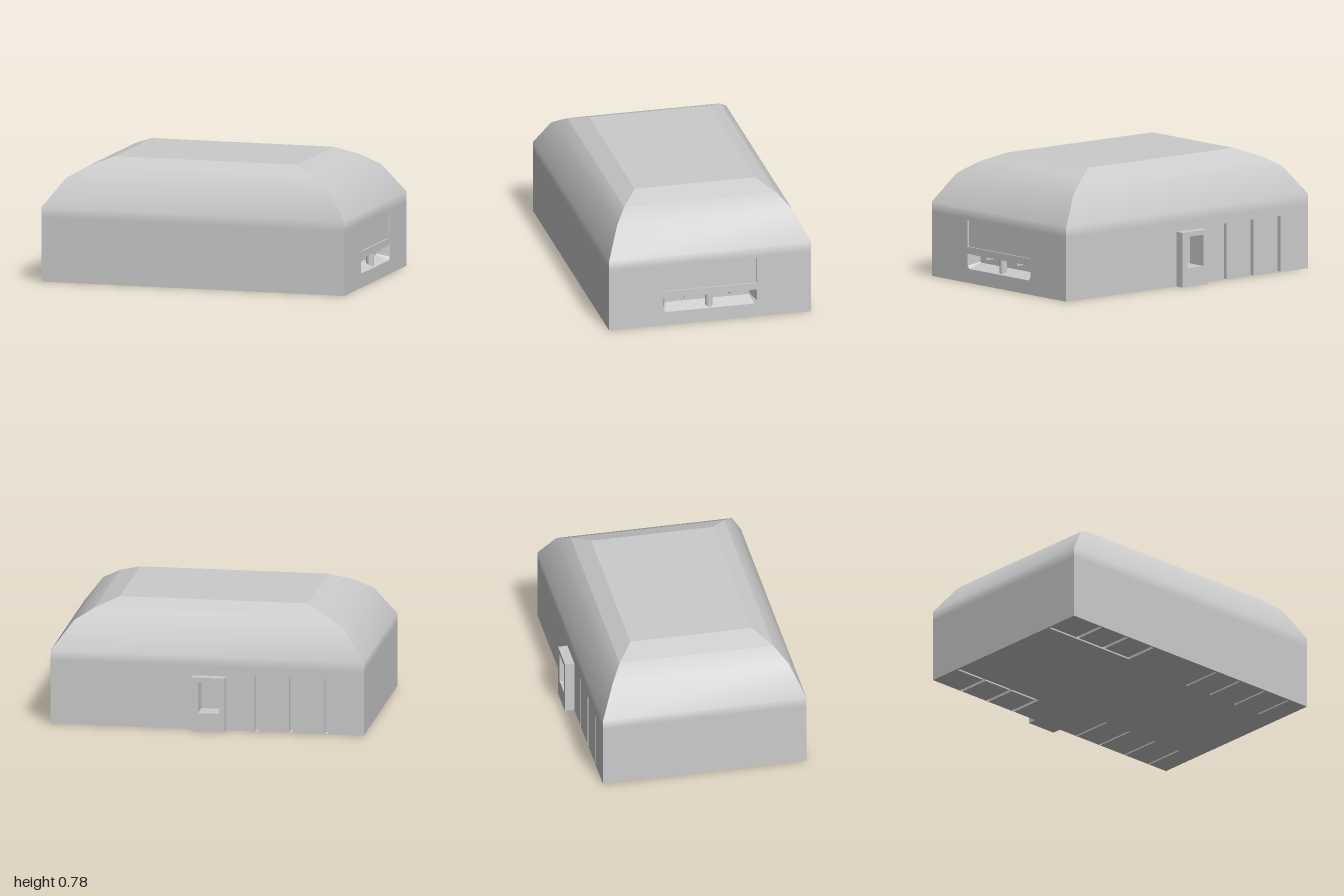
import * as THREE from 'three';

const material = new THREE.MeshStandardMaterial({ color: 0xcccccc });
const FRONT = 0.685, BACK = -0.625, WALL = 0.41;

// Half width, height, front z and back z of each level of the sloped cover
const levels = [
  [1, WALL, FRONT, BACK],
  [1, 0.475, FRONT, BACK],
  [0.865, 0.655, 0.6, -0.535],
  [0.745, 0.725, 0.525, -0.465],
  [0.6, 0.78, 0.42, -0.365],
];

const rect = (u0, v0, u1, v1) => [[u0, v0], [u1, v0], [u1, v1], [u0, v1]];
const toPoints = (list) => list.map(([u, v]) => new THREE.Vector2(u, v));

function addMesh(parent, name, geometry) {
  const mesh = new THREE.Mesh(geometry, material);
  mesh.name = name;
  parent.add(mesh);
  return mesh;
}

// Strip of quads between successive rows of points, facing the side given by the row order
function strip(rows) {
  const n = rows[0].length, index = [];
  for (let r = 0; r < rows.length - 1; r++) {
    for (let i = 0; i < n - 1; i++) {
      const a = r * n + i, b = a + 1, c = b + n, d = a + n;
      index.push(a, b, c, a, c, d);
    }
  }
  const geometry = new THREE.BufferGeometry();
  geometry.setAttribute('position', new THREE.Float32BufferAttribute(rows.flat(2), 3));
  geometry.setIndex(index);
  geometry.computeVertexNormals();
  return geometry;
}

// Flat panel facing +z with recessed pockets; each pocket is { edge, depth, inner }
function panel(name, outline, pockets = []) {
  const group = new THREE.Group();
  group.name = name;
  const shape = new THREE.Shape(toPoints(outline));
  for (const { edge, depth, inner = edge } of pockets) {
    shape.holes.push(new THREE.Path(toPoints(edge)));
    edge.forEach((a, i) => {
      const j = (i + 1) % edge.length;
      addMesh(group, 'recessSide', strip([
        [[...a, 0], [...edge[j], 0]],
        [[...inner[i], -depth], [...inner[j], -depth]],
      ]));
    });
    const floor = new THREE.ShapeGeometry(new THREE.Shape(toPoints(inner)));
    addMesh(group, 'recessFloor', floor.translate(0, 0, -depth));
  }
  addMesh(group, name + 'Face', new THREE.ShapeGeometry(shape));
  return group;
}

// Comb-shaped groove: a long bar with three teeth reaching the edge
const slitX = [-0.76, -0.535, -0.315];
function comb(flip) {
  const points = [[-0.985, -0.408]];
  for (const x of slitX) {
    points.push([x - 0.012, -0.408], [x - 0.012, -0.622], [x + 0.012, -0.622]);
    if (x !== slitX[2]) points.push([x + 0.012, -0.408]);
  }
  points.push([slitX[2] + 0.012, -0.392], [-0.985, -0.392]);
  return flip ? points.map(([x, z]) => [x, 0.05 - z]).reverse() : points;
}

export function createModel() {
  const model = new THREE.Group();
  const cover = new THREE.Group();
  cover.name = 'cover';
  model.add(cover);

  // Sloped cover sides: smooth lower bands, a crisp top band
  const sides = {
    front: ([w, y, f]) => [[-w, y, f], [w, y, f]],
    back: ([w, y, f, b]) => [[w, y, b], [-w, y, b]],
    left: ([w, y, f, b]) => [[w, y, f], [w, y, b]],
    right: ([w, y, f, b]) => [[-w, y, b], [-w, y, f]],
  };
  for (const [side, row] of Object.entries(sides)) {
    addMesh(cover, side + 'Slope', strip(levels.slice(0, 4).map(row)));
    addMesh(cover, side + 'TopBevel', strip(levels.slice(3).map(row)));
  }
  const [w, y, f, b] = levels[4];
  addMesh(cover, 'coverTop', strip([[[-w, y, f], [w, y, f]], [[-w, y, b], [w, y, b]]]));

  // Front and plain end walls
  const frontWall = panel('frontWall', rect(-1, 0, 1, WALL));
  frontWall.position.z = FRONT;
  const plainEnd = panel('plainEndWall', rect(BACK, 0, FRONT, WALL));
  plainEnd.rotation.y = -Math.PI / 2;
  plainEnd.position.x = -1;

  // End wall with a tapered slot and a shallow label recess above it
  const slot = {
    edge: [[-0.32, 0.09], [0.26, 0.09], [0.275, 0.11], [0.275, 0.185], [-0.335, 0.185], [-0.335, 0.11]],
    inner: [[-0.3, 0.125], [0.24, 0.125], [0.245, 0.13], [0.245, 0.165], [-0.305, 0.165], [-0.305, 0.13]],
    depth: 0.08,
  };
  const slotEnd = panel('slotEndWall', rect(-FRONT, 0, -BACK, WALL), [
    slot,
    { edge: rect(-0.335, 0.23, 0.275, 0.4), depth: 0.01 },
  ]);
  slotEnd.rotation.y = Math.PI / 2;
  slotEnd.position.x = 1;

  // Post and small teeth inside the slot
  const post = addMesh(model, 'slotPost', new THREE.CylinderGeometry(0.025, 0.025, 0.09, 16));
  post.position.set(0.965, 0.14, 0.03);
  for (const z of [0.18, -0.115]) {
    const tooth = addMesh(model, 'slotTooth', new THREE.BoxGeometry(0.06, 0.022, 0.025));
    tooth.position.set(0.955, 0.175, z);
  }

  // Back wall with vertical slits and the connector opening
  const opening = rect(-0.05, 0.12, 0.085, 0.32);
  const backWall = panel('backWall', rect(-1, 0, 1, WALL), [
    { edge: opening, depth: 0.075 },
    ...slitX.map((x) => ({ edge: rect(-x - 0.012, 0.002, -x + 0.012, 0.36), depth: 0.05 })),
  ]);
  backWall.rotation.y = Math.PI;
  backWall.position.z = BACK;

  // Raised frame around the connector opening
  const frameShape = new THREE.Shape(toPoints(rect(-0.09, 0, 0.12, 0.35)));
  frameShape.holes.push(new THREE.Path(toPoints(opening)));
  const frame = addMesh(model, 'connectorFrame',
    new THREE.ExtrudeGeometry(frameShape, { depth: 0.06, bevelEnabled: false }));
  frame.rotation.y = Math.PI;
  frame.position.z = BACK;

  // Base with two rows of short vents and two comb grooves
  const vents = [0.23, 0.43, 0.645, 0.85].flatMap((x) => [
    { edge: rect(x - 0.007, -0.62, x + 0.007, -0.35), depth: 0.03 },
    { edge: rect(x - 0.007, 0.4, x + 0.007, 0.67), depth: 0.03 },
  ]);
  const base = panel('base', rect(-1, BACK, 1, FRONT), [
    ...vents,
    { edge: comb(false), depth: 0.03 },
    { edge: comb(true), depth: 0.03 },
  ]);
  base.rotation.x = Math.PI / 2;

  model.add(frontWall, plainEnd, slotEnd, backWall, base);
  return model;
}
